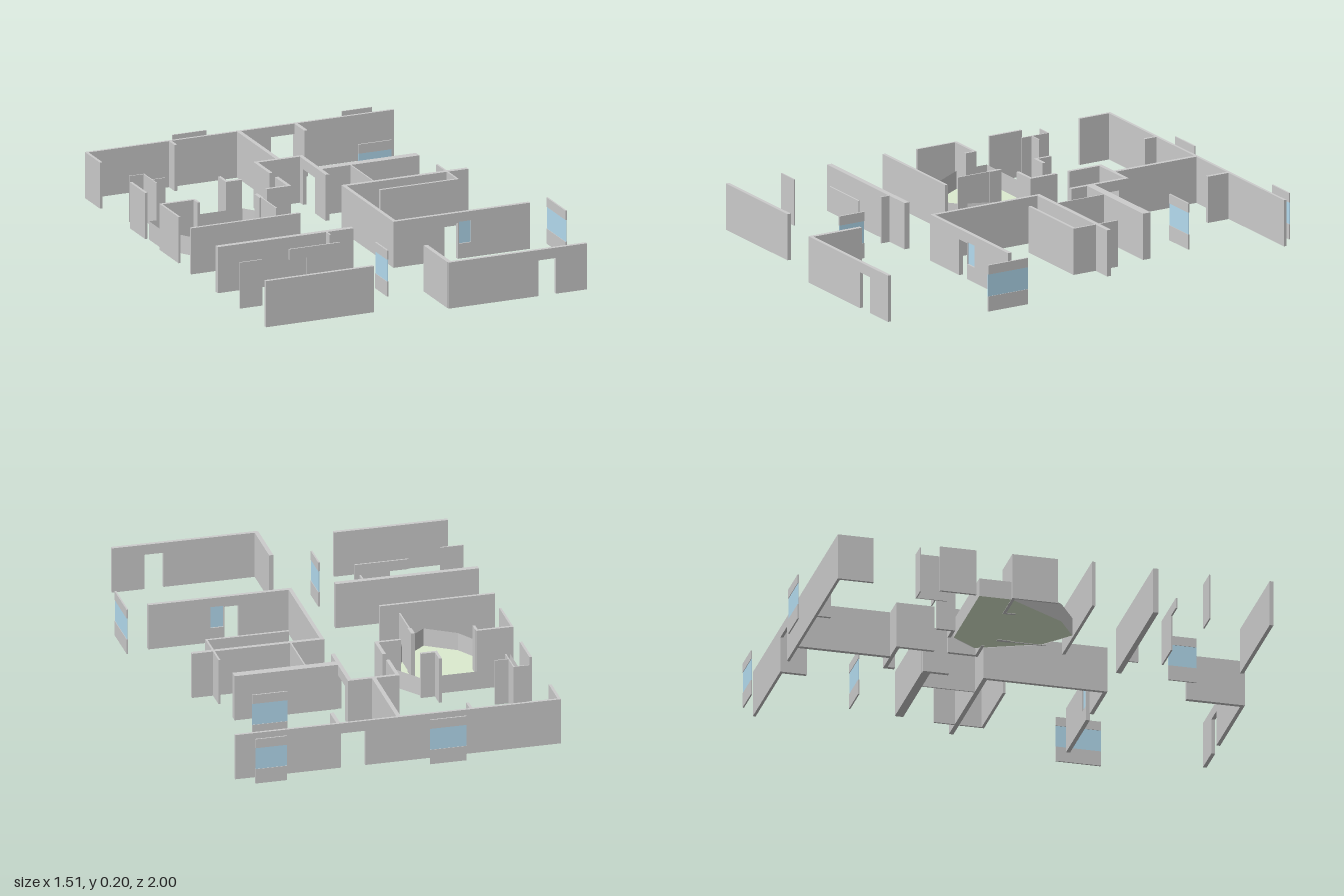
import * as THREE from 'three';

const H = 0.2, DOOR = 0.155, SILL = 0.065, HEAD = 0.16;

export function createModel() {
  const model = new THREE.Group();
  const grey = new THREE.MeshStandardMaterial({ color: 0xcccccc, flatShading: true });
  const sheet = new THREE.MeshStandardMaterial({ color: 0xcccccc, flatShading: true, side: THREE.DoubleSide });
  const glass = new THREE.MeshStandardMaterial({ color: 0xb4dcf0 });
  const green = new THREE.MeshStandardMaterial({ color: 0xdcebcf, side: THREE.DoubleSide });

  // Box given by its extents in plan and height
  function box(name, x1, x2, z1, z2, y1 = 0, y2 = H, mat = grey, parent = model) {
    const m = new THREE.Mesh(new THREE.BoxGeometry(x2 - x1, y2 - y1, z2 - z1), mat);
    m.position.set((x1 + x2) / 2, (y1 + y2) / 2, (z1 + z2) / 2);
    m.name = name;
    parent.add(m);
  }

  // Wall along x with door gaps [from, to, bottom, top]
  function wallX(name, x1, x2, z1, z2, gaps) {
    const g = new THREE.Group();
    g.name = name;
    let x = x1;
    for (const [a, b, low, high] of gaps) {
      if (a > x) box('wallPart', x, a, z1, z2, 0, H, grey, g);
      if (low > 0) box('sill', a, b, z1, z2, 0, low, grey, g);
      box('lintel', a, b, z1, z2, high, H, grey, g);
      x = b;
    }
    box('wallPart', x, x2, z1, z2, 0, H, grey, g);
    model.add(g);
  }

  // Free-standing window panel: solid base and head with a glazed band
  function windowPanel(x1, x2, z1, z2) {
    const g = new THREE.Group();
    g.name = 'windowPanel';
    box('windowBase', x1, x2, z1, z2, 0, SILL, grey, g);
    box('windowHead', x1, x2, z1, z2, HEAD, H, grey, g);
    const alongX = x2 - x1 > z2 - z1, t = 0.002;
    const ix = alongX ? 0 : t, iz = alongX ? t : 0;
    box('windowGlass', x1 + ix, x2 - ix, z1 + iz, z2 - iz, SILL, HEAD, glass, g);
    model.add(g);
  }

  // Walls with openings
  wallX('backWall', -0.75, 0.64, -0.938, -0.926, [[0.085, 0.19, 0, DOOR]]);
  wallX('frontWall', 0.03, 0.655, 0.983, 0.999, [[0.435, 0.515, 0, DOOR]]);
  wallX('middleFrontWall', 0.04, 0.655, 0.4, 0.417, [[0.27, 0.33, 0, DOOR], [0.335, 0.39, SILL, HEAD]]);
  box('wallGlass', 0.335, 0.39, 0.406, 0.411, SILL, HEAD, glass);
  wallX('doorFramePanel', -0.5, -0.27, 0.567, 0.574, [[-0.5, -0.42, 0, DOOR]]);

  // Corridor wall with a doorway
  box('corridorWall', 0.035, 0.052, -0.53, -0.49);
  box('corridorLintel', 0.035, 0.052, -0.49, -0.37, DOOR, H);
  box('corridorWall', 0.035, 0.052, -0.37, -0.26);

  // Solid walls: x1, x2, z1, z2
  const walls = [
    [-0.75, -0.738, -0.926, -0.785], [-0.375, -0.363, -0.926, -0.87], [0.19, 0.206, -0.926, -0.825],
    [-0.068, -0.05, -0.926, -0.53], [-0.168, 0.052, -0.537, -0.521], [-0.168, -0.153, -0.521, -0.375],
    [0.052, 0.492, -0.372, -0.336], [-0.742, -0.731, -0.5, -0.345],
    [-0.379, -0.367, -0.42, -0.341], [-0.367, -0.307, -0.355, -0.341],
    [-0.168, -0.153, -0.317, -0.187], [-0.263, -0.168, -0.2, -0.187],
    [-0.745, -0.587, -0.193, -0.18], [-0.745, -0.736, -0.18, 0.002], [-0.596, -0.585, -0.18, -0.14],
    [-0.336, -0.32, -0.15, -0.095],
    [0.04, 0.605, -0.112, -0.093], [0.04, 0.056, -0.093, 0.4],
    [0.16, 0.515, 0.002, 0.014], [0.507, 0.515, -0.2, 0.002],
    [-0.757, -0.265, 0.144, 0.157], [-0.757, -0.145, 0.404, 0.427], [-0.27, -0.263, 0.427, 0.467],
    [-0.757, -0.27, 0.9, 0.916], [0.028, 0.046, 0.75, 0.99]
  ];
  for (const w of walls) box('wall', ...w);

  // Thin partitions
  const partitions = [
    [0.18, 0.186, -0.336, -0.112], [-0.755, -0.655, 0.643, 0.649], [-0.33, -0.324, -0.095, 0.058],
    [-0.71, -0.642, -0.578, -0.573], [-0.647, -0.642, -0.573, -0.445], [-0.642, -0.585, -0.498, -0.493]
  ];
  for (const p of partitions) box('partition', ...p);

  // Window panels
  windowPanel(0.746, 0.753, 0.38, 0.573);
  windowPanel(-0.138, -0.131, 0.63, 0.75);
  windowPanel(-0.33, -0.175, -1, -0.994);
  windowPanel(0.435, 0.57, -1, -0.994);
  windowPanel(0.32, 0.47, -0.573, -0.567);

  // Many-sided floor with a low thin curb around it
  const outline = [[-0.73, -0.33], [-0.31, -0.33], [-0.23, -0.22], [-0.335, 0.04],
    [-0.45, 0.14], [-0.575, 0.06], [-0.73, -0.19]];
  const shape = new THREE.Shape(outline.map(([x, z]) => new THREE.Vector2(x, -z)));
  const floor = new THREE.Mesh(new THREE.ShapeGeometry(shape).rotateX(-Math.PI / 2), green);
  floor.position.y = 0.002;
  floor.name = 'floor';
  model.add(floor);
  const curb = new THREE.Group();
  curb.name = 'floorCurb';
  outline.forEach(([x1, z1], i) => {
    const [x2, z2] = outline[(i + 1) % outline.length];
    const side = new THREE.Mesh(new THREE.PlaneGeometry(Math.hypot(x2 - x1, z2 - z1), 0.08), sheet);
    side.position.set((x1 + x2) / 2, 0.04, (z1 + z2) / 2);
    side.rotation.y = -Math.atan2(z2 - z1, x2 - x1);
    side.name = 'curbSide';
    curb.add(side);
  });
  model.add(curb);
  return model;
}
